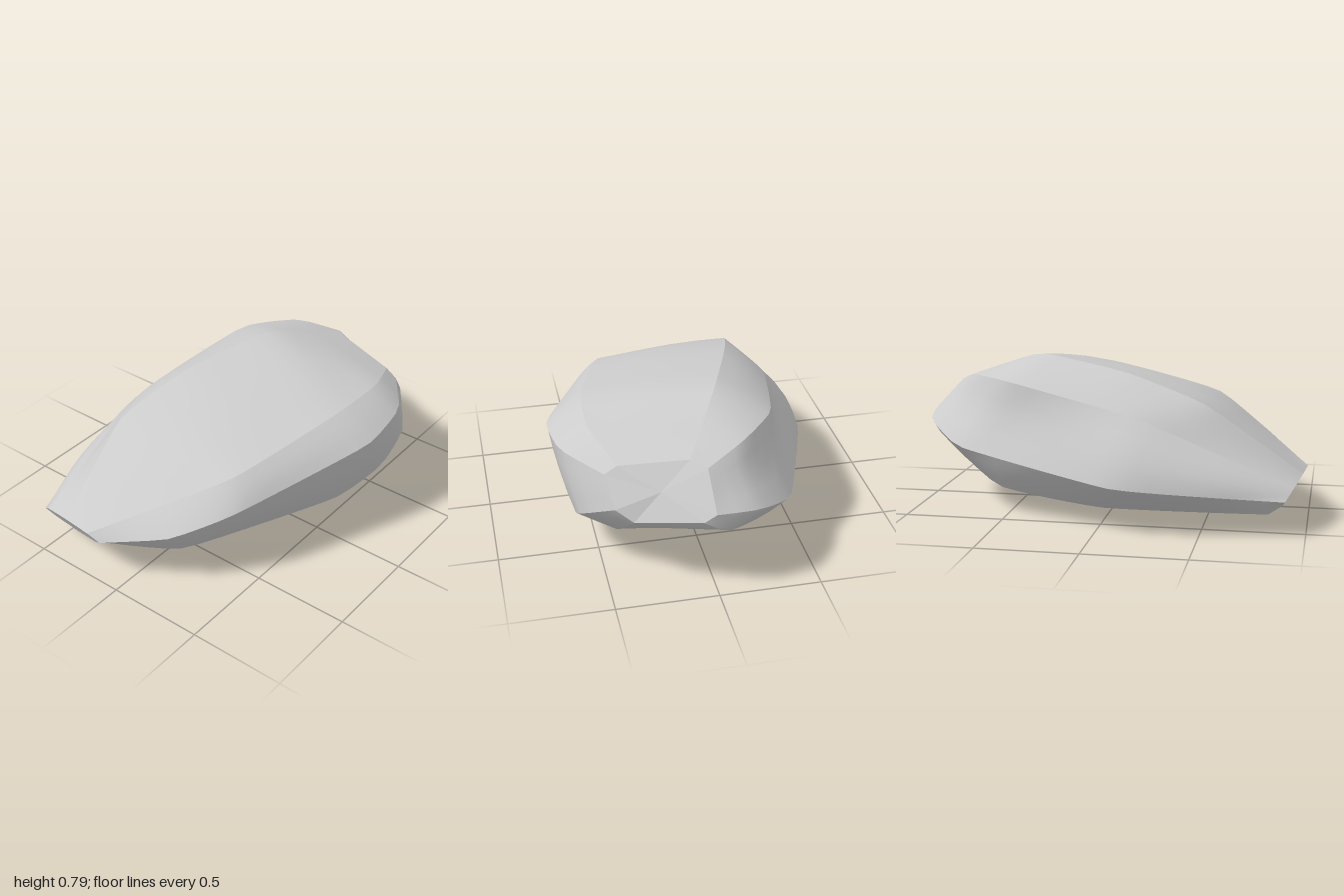
import * as THREE from 'three';

// Long facets of the stone, listed around the body: front, top, back, underside.
// "ridge" is the facet's first edge, from the middle to the blunt end (+x);
// "swell" is its bulge near the narrow end and near the blunt end.
const facets = [
  { name: 'frontBevel', swell: [.01, .01],
    ridge: [[-.82, .31, .2], [-.58, .41, .41], [.13, .54, .69], [.46, .57, .665], [.71, .56, .49]] },
  { name: 'topFacet', swell: [.02, .02],
    ridge: [[-.5, .54, .33], [.1, .66, .51], [.45, .665, .525], [.71, .6, .43]] },
  { name: 'topBackFacet', swell: [.01, .01],
    ridge: [[-.5, .59, -.38], [-.1, .72, -.28], [.39, .785, -.11], [.79, .64, .1]] },
  { name: 'backFacet', swell: [.12, -.1],
    ridge: [[-.2, .53, -.52], [.48, .67, -.37], [.73, .675, -.17], [.85, .62, .03]] },
  { name: 'lowerBackFacet', swell: [.01, .01],
    ridge: [[-.55, .2, -.66], [-.07, .23, -.695], [.74, .34, -.41], [.96, .435, -.19], [1, .46, .02]] },
  { name: 'underside', swell: [0, 0],
    ridge: [[-.82, .1, -.54], [0, .07, -.45], [.56, .13, -.34], [.98, .35, -.04], [1, .425, .08]] },
  { name: 'lowerFrontFacet', swell: [0, 0],
    ridge: [[-.42, 0, -.04], [-.1, .03, .16], [.55, .14, .42], [.86, .375, .38]] },
  { name: 'frontFacet', swell: [.02, .02],
    ridge: [[-.6, .05, .1], [.14, .11, .51], [.44, .19, .6], [.64, .31, .6], [.82, .43, .46]] },
];
const STATIONS = 24, ACROSS = 4;

// All ridges start on a small tilted ellipse at the narrow end (-x)
function narrowEndPoint(k) {
  const angle = (k / facets.length) * Math.PI * 2;
  const c = Math.cos(angle), s = Math.sin(angle);
  return new THREE.Vector3(-.94 - .04 * c - .035 * s, .2 + .03 * c + .06 * s, -.34 + .23 * c);
}

const average = (points) =>
  points.reduce((sum, p) => sum.add(p), new THREE.Vector3()).divideScalar(points.length);

function meshFrom(name, points, index, material) {
  const geometry = new THREE.BufferGeometry().setFromPoints(points);
  geometry.setIndex(index);
  geometry.computeVertexNormals();
  const mesh = new THREE.Mesh(geometry, material);
  mesh.name = name;
  return mesh;
}

export function createModel() {
  const group = new THREE.Group();
  group.name = 'stone';
  const smooth = new THREE.MeshStandardMaterial({ color: 0xcccccc });
  const flat = new THREE.MeshStandardMaterial({ color: 0xcccccc, flatShading: true });

  // Cross-sections: one point per ridge at each station; low tension keeps the bends angular
  const lines = facets.map(({ ridge }, k) => new THREE.CatmullRomCurve3(
    [narrowEndPoint(k), ...ridge.map((p) => new THREE.Vector3(...p))],
    false, 'catmullrom', 0.2).getSpacedPoints(STATIONS));
  const section = (s) => lines.map((line) => line[s]);

  // Smooth facet between neighbouring ridges, creased along each ridge
  facets.forEach(({ name, swell }, k) => {
    const next = lines[(k + 1) % lines.length];
    const points = [], index = [];
    for (let s = 0; s <= STATIONS; s++) {
      const centre = average(section(s));
      const along = s / STATIONS;
      const bulge = THREE.MathUtils.lerp(...swell, along) * Math.sin(Math.PI * along);
      for (let j = 0; j <= ACROSS; j++) {
        const t = j / ACROSS;
        const p = lines[k][s].clone().lerp(next[s], t);
        const out = p.clone().sub(centre).normalize();
        points.push(p.addScaledVector(out, bulge * Math.sin(Math.PI * t)));
        if (s < STATIONS && j < ACROSS) {
          const a = s * (ACROSS + 1) + j, b = a + ACROSS + 1;
          index.push(a, b, b + 1, a, b + 1, a + 1);
        }
      }
    }
    group.add(meshFrom(name, points, index, smooth));
  });

  // Broken faces closing both ends
  for (const [name, s] of [['narrowEnd', 0], ['bluntEnd', STATIONS]]) {
    const rim = section(s), n = rim.length, index = [];
    for (let k = 0; k < n; k++) {
      const m = (k + 1) % n;
      index.push(n, ...(s ? [m, k] : [k, m]));
    }
    group.add(meshFrom(name, [...rim, average(rim)], index, flat));
  }
  return group;
}
